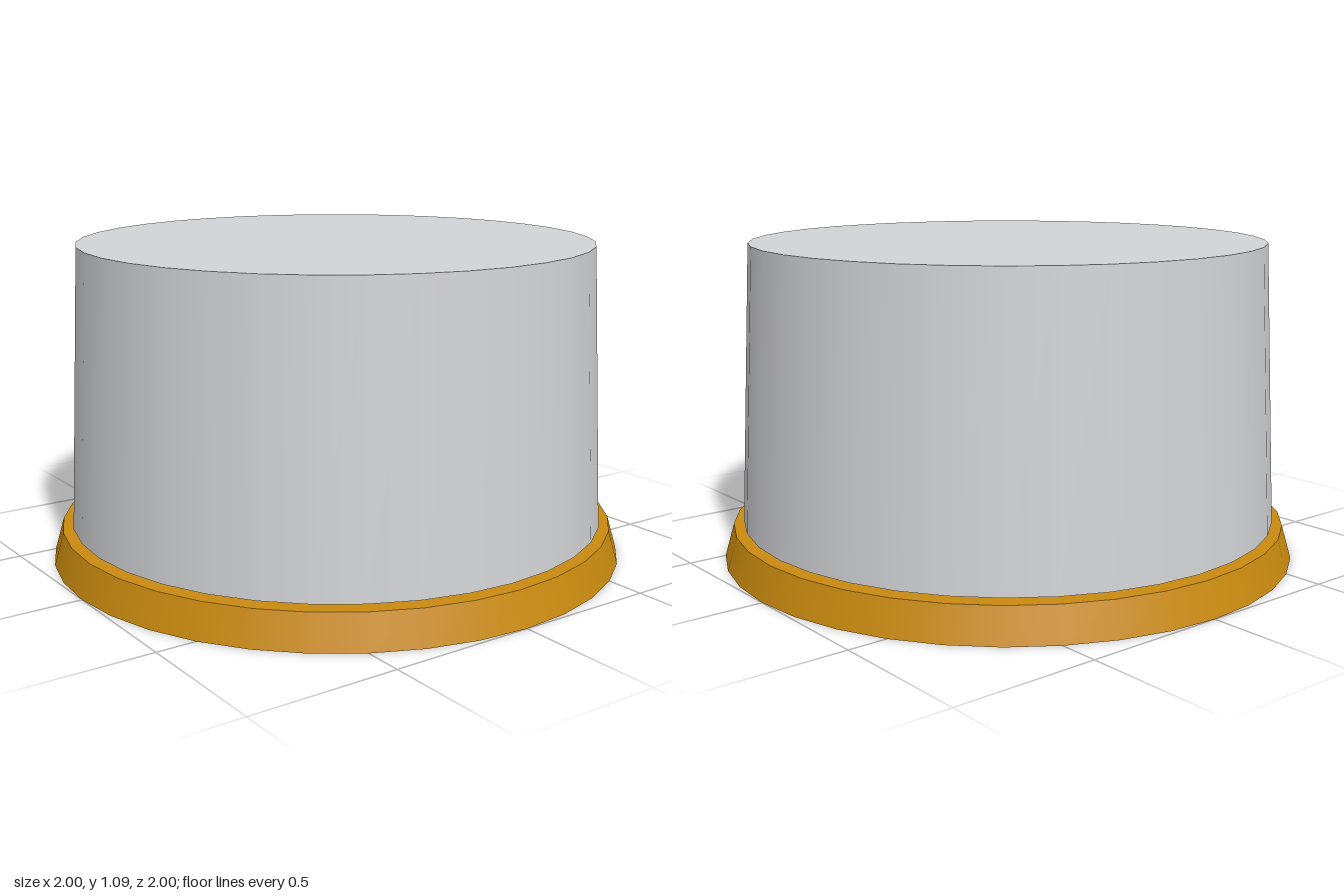
import * as THREE from 'three';

const SIDES = 36;

export function createModel() {
  const model = new THREE.Group();
  const amber = new THREE.MeshStandardMaterial({ color: 0xc98a0f });
  amber.name = 'amber';
  const lightGrey = new THREE.MeshStandardMaterial({ color: 0xd2d3d5 });
  lightGrey.name = 'light grey';

  // Capped, slightly tapered drum standing between two heights
  function drum(name, topRadius, bottomRadius, y0, y1, material) {
    const geometry = new THREE.CylinderGeometry(topRadius, bottomRadius, y1 - y0, SIDES);
    const mesh = new THREE.Mesh(geometry, material);
    mesh.name = name;
    mesh.position.y = (y0 + y1) / 2;
    model.add(mesh);
  }

  // Flared base plate
  drum('basePlate', 0.967, 1, 0, 0.115, amber);
  // Recessed neck that leaves a thin shadow gap under the body
  drum('neck', 0.785, 0.785, 0.11, 0.13, lightGrey);
  // Tapered body
  drum('body', 0.884, 0.932, 0.125, 1.09, lightGrey);

  return model;
}
